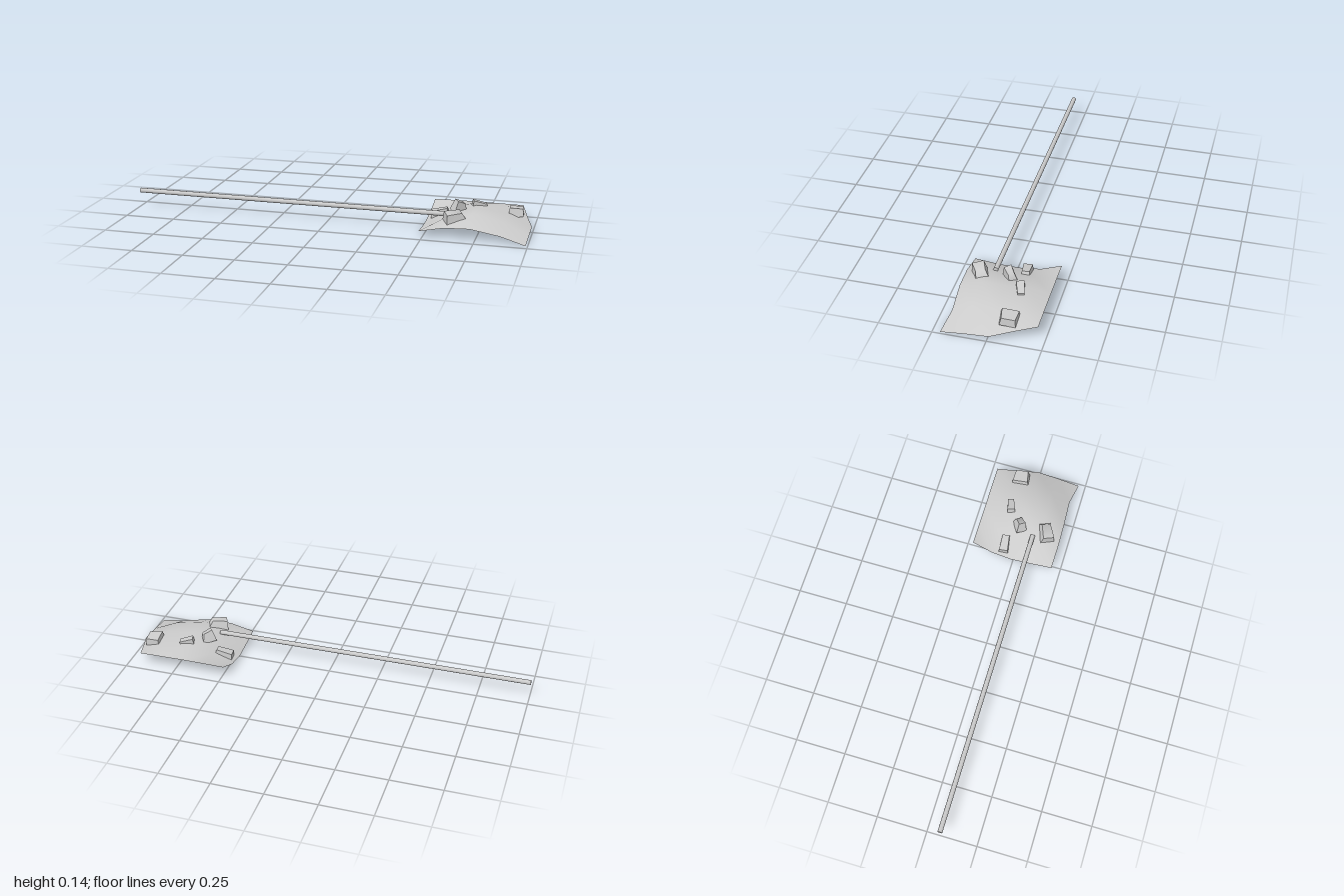
import * as THREE from 'three';
import { mergeVertices, toCreasedNormals } from 'three/addons/utils/BufferGeometryUtils.js';

const grey = new THREE.MeshStandardMaterial({ color: 0xcccccc });
const clothGrey = new THREE.MeshStandardMaterial({ color: 0xcccccc, side: THREE.DoubleSide });

function add(group, name, geometry, material = grey) {
  const mesh = new THREE.Mesh(geometry, material);
  mesh.name = name;
  group.add(mesh);
  return mesh;
}

// Crumpled sheet: rows run back to front, columns left edge to right edge
function clothGeometry() {
  const columns = [0, 0.24, 0.48, 0.76, 1];
  const rows = [
    { z: -0.217, x0: 0.485, x1: 0.93, y: [0.071, 0.073, 0.074, 0.073, 0.072] },
    { z: -0.115, x0: 0.478, x1: 0.96, y: [0.027, 0.068, 0.098, 0.085, 0.05] },
    { z: -0.01, x0: 0.475, x1: 0.995, y: [0.012, 0.074, 0.103, 0.085, 0.027] },
    { z: 0.1, x0: 0.478, x1: 0.993, y: [0.018, 0.08, 0.105, 0.075, 0.018] },
    { z: 0.205, x0: 0.48, x1: 0.99, y: [0.03, 0.056, 0.06, 0.033, 0.003] },
  ];
  const frontZ = [0, 0.003, 0, -0.009, 0.01];
  const g = new THREE.PlaneGeometry(1, 1, 4, 4).rotateX(-Math.PI / 2);
  const p = g.attributes.position;
  rows.forEach((row, r) => columns.forEach((u, c) => {
    const z = row.z + (r === 4 ? frontZ[c] : 0);
    p.setXYZ(r * 5 + c, THREE.MathUtils.lerp(row.x0, row.x1, u), row.y[c], z);
  }));
  g.computeVertexNormals();
  return g;
}

// Chipped block: a box tapered and skewed towards its top
function rockGeometry(w, h, d, taper, skew) {
  const g = new THREE.BoxGeometry(w, h, d);
  const p = g.attributes.position;
  for (let i = 0; i < p.count; i++) {
    const x = p.getX(i), y = p.getY(i), z = p.getZ(i);
    const s = y > 0 ? taper : 1;
    const lean = y > 0 ? skew * w : 0;
    p.setXYZ(i, x * s + lean, y * (x > 0 ? 0.75 : 1), z * s * (x > 0 ? 0.8 : 1));
  }
  g.deleteAttribute('normal');
  g.deleteAttribute('uv');
  return toCreasedNormals(mergeVertices(g), 1.1);
}

export function createModel() {
  const group = new THREE.Group();

  // Pole lying along x, its end resting on the cloth
  const pole = add(group, 'pole', new THREE.CylinderGeometry(0.012, 0.012, 1.605, 10));
  pole.rotation.z = Math.PI / 2;
  pole.position.set(-0.1975, 0.085, 0.068);

  add(group, 'cloth', clothGeometry(), clothGrey);

  // Rubble scattered over and through the cloth
  const rocks = [
    { pos: [0.535, 0.045, -0.062], size: [0.095, 0.05, 0.052], rot: [0, 0.1, 0.3], taper: 0.85, skew: 0.05 },
    { pos: [0.645, 0.103, -0.014], size: [0.07, 0.06, 0.055], rot: [0.2, 0.6, -0.35], taper: 0.65, skew: -0.1 },
    { pos: [0.724, 0.07, -0.083], size: [0.08, 0.1, 0.045], rot: [0, 0.3, -0.1], taper: 0.85, skew: 0.05 },
    { pos: [0.908, 0.078, -0.08], size: [0.075, 0.05, 0.092], rot: [-0.1, 0.08, 0.05], taper: 0.85, skew: 0.05 },
    { pos: [0.64, 0.096, 0.132], size: [0.1, 0.048, 0.075], rot: [0.15, 0.45, 0.1], taper: 0.75, skew: -0.03 },
  ];
  rocks.forEach((r, i) => {
    const rock = add(group, `rock${i + 1}`, rockGeometry(...r.size, r.taper, r.skew));
    rock.position.set(...r.pos);
    rock.rotation.set(...r.rot);
  });

  return group;
}
